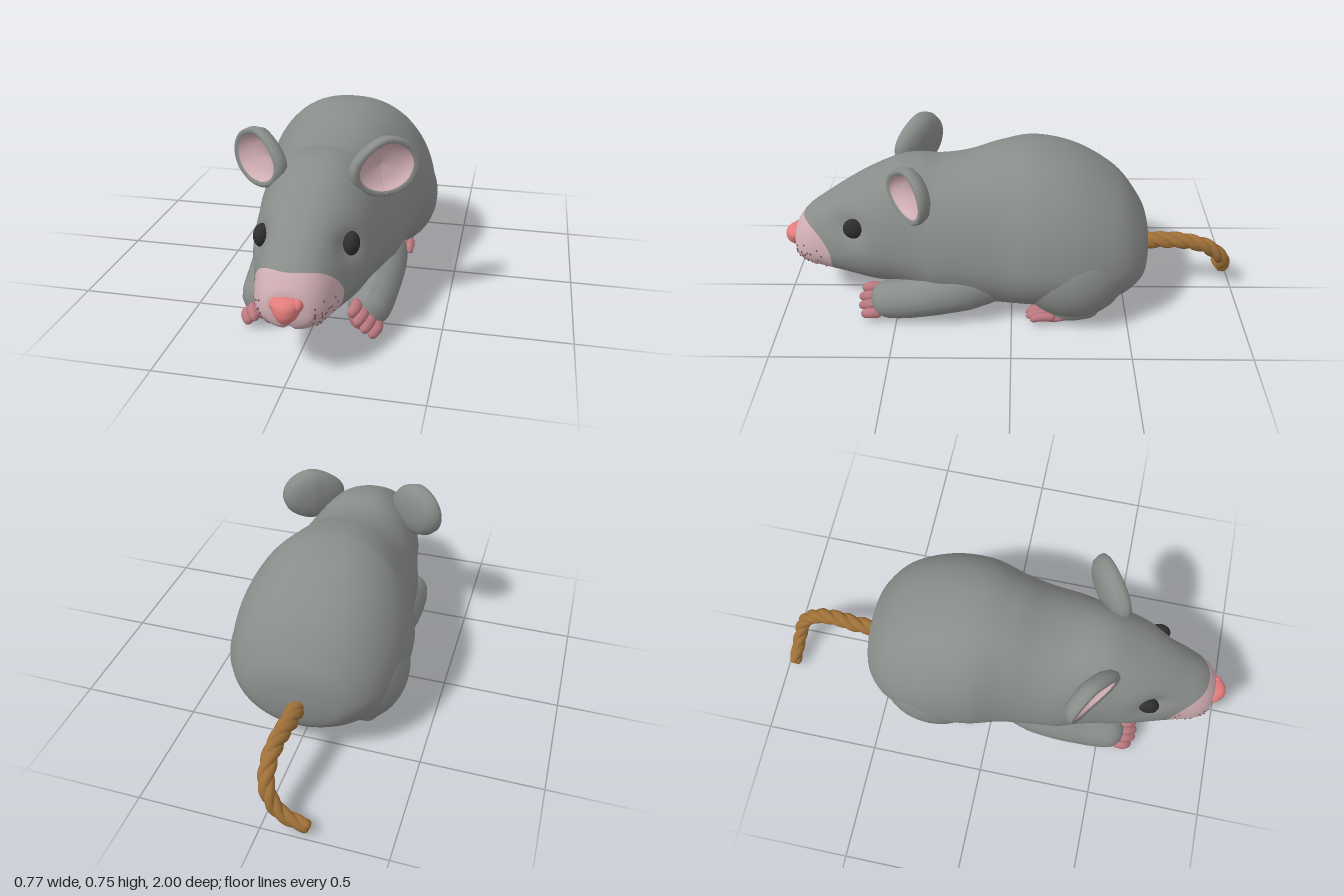
import * as THREE from 'three';

const mat = (name, color) => Object.assign(new THREE.MeshStandardMaterial({ color }), { name });
const V = (x, y, z) => new THREE.Vector3(x, y, z);

// Body sections from rump to snout: z, half width, widest height, top, bottom
const SECTIONS = [
  [-0.597, 0, 0.27, 0.27, 0.27], [-0.585, 0.13, 0.27, 0.38, 0.17], [-0.55, 0.23, 0.27, 0.46, 0.115],
  [-0.45, 0.32, 0.285, 0.588, 0.05], [-0.28, 0.372, 0.3, 0.695, 0.025], [-0.1, 0.37, 0.31, 0.74, 0.012],
  [0.05, 0.327, 0.3, 0.72, 0.004], [0.18, 0.307, 0.295, 0.677, 0.005], [0.3, 0.295, 0.3, 0.66, 0.02],
  [0.39, 0.27, 0.31, 0.67, 0.055], [0.48, 0.25, 0.32, 0.66, 0.088], [0.6, 0.227, 0.32, 0.608, 0.1],
  [0.7, 0.193, 0.3, 0.553, 0.125], [0.8, 0.16, 0.28, 0.488, 0.15], [0.88, 0.135, 0.27, 0.43, 0.172],
  [0.93, 0.1, 0.265, 0.37, 0.2], [0.946, 0.065, 0.265, 0.33, 0.225], [0.952, 0, 0.27, 0.27, 0.27],
];
const LAST = SECTIONS.length - 1, MUZZLE = 12.75; // section where the muzzle begins
const EYE = [0.168, 0.42, 0.662];
const spline = (f) => new THREE.CatmullRomCurve3(SECTIONS.map(f), false, 'catmullrom');
const widths = spline((s) => V(s[0], s[1], s[2]));
const heights = spline((s) => V(s[3], s[4], 0));

// Point on the body skin: k along the sections, a around; the muzzle edge swings forward on top
function skin(k, a) {
  const s = Math.sin(a), c = Math.cos(a), up = Math.max(s, 0);
  const ramp = k < MUZZLE ? Math.max(0, (k - 8) / (MUZZLE - 8)) : (LAST - k) / (LAST - MUZZLE);
  const t = Math.min(1, (k + 1.65 * up ** 1.4 * ramp) / LAST);
  const p = widths.getPoint(t), h = heights.getPoint(t);
  let x = Math.max(p.y, 0) * Math.sign(c) * Math.abs(c) ** (s > 0 ? 0.86 : 1) * (1 - 0.06 * up);
  // small cleft under the snout
  const cleft = s < 0 && k > 13 ? 0.016 * Math.exp(-((x / 0.016) ** 2)) * Math.min(1, k - 13) * -s : 0;
  const y = p.z + s * (s > 0 ? h.x - p.z : p.z - h.y) + cleft;
  // eye sockets, drawn out forwards
  const far = Math.hypot(y - EYE[1], (p.x - EYE[2] - 0.02) * 0.75) / 0.05;
  if (Math.abs(x) > 0.1) x -= Math.sign(x) * 0.026 * Math.exp(-far * far);
  return V(x, y, p.x);
}

// Seamless loft, with the muzzle as a second material group
function bodyGeometry(perSection, sides) {
  const pos = [], idx = [], rings = LAST * perSection;
  for (let i = 0; i <= rings; i++)
    for (let j = 0; j < sides; j++) pos.push(...skin(i / perSection, (j / sides) * Math.PI * 2).toArray());
  for (let i = 0; i < rings; i++)
    for (let j = 0; j < sides; j++) {
      const k = (j + 1) % sides;
      const a = i * sides + j, b = i * sides + k, c = a + sides, d = b + sides;
      idx.push(a, b, c, b, d, c);
    }
  const g = new THREE.BufferGeometry();
  g.setAttribute('position', new THREE.Float32BufferAttribute(pos, 3));
  g.setIndex(idx);
  g.computeVertexNormals();
  const cut = MUZZLE * perSection * sides * 6;
  g.addGroup(0, cut, 0);
  g.addGroup(cut, idx.length - cut, 1);
  return g;
}

// Tube whose radius follows a list of values, rounded off at both ends
function limb(points, radii, segments = 24, sides = 16) {
  const curve = new THREE.CatmullRomCurve3(points);
  const g = new THREE.TubeGeometry(curve, segments, 1, sides);
  const pos = g.attributes.position, v = V(0, 0, 0), len = curve.getLength();
  for (let i = 0; i <= segments; i++) {
    const u = i / segments, c = curve.getPointAt(u);
    const f = u * (radii.length - 1), k = Math.min(Math.floor(f), radii.length - 2);
    let r = THREE.MathUtils.lerp(radii[k], radii[k + 1], f - k);
    const d = Math.min(u, 1 - u) * len;
    if (d < r) r *= Math.sqrt(Math.max(0, 1 - (1 - d / r) ** 2));
    for (let j = 0; j <= sides; j++) {
      const n = i * (sides + 1) + j;
      v.fromBufferAttribute(pos, n).sub(c).multiplyScalar(r).add(c);
      pos.setXYZ(n, v.x, v.y, v.z);
    }
  }
  g.computeVertexNormals();
  return g;
}

export function createModel() {
  const fur = mat('grey fur', 0x898d8a), pink = mat('pale pink skin', 0xd0aeb3);
  const paw = mat('paw pink', 0xb9787f), noseRed = mat('nose coral', 0xe47d7d);
  const black = mat('eye black', 0x2e2e2e), rope = mat('rope brown', 0x9f7038);
  const pit = mat('whisker pit', 0x6e555a);
  const root = new THREE.Group();
  root.name = 'rat';

  const add = (name, geometry, material) => {
    const m = new THREE.Mesh(geometry, material);
    m.name = name;
    root.add(m);
    return m;
  };
  const ball = (name, material, c, r) => {
    const m = add(name, new THREE.SphereGeometry(1, 32, 20), material);
    m.position.set(...c);
    m.scale.set(...r);
  };

  add('bodyAndMuzzle', bodyGeometry(8, 80), [fur, pink]);

  // Nose, broad and flat on top, narrowing downwards
  const nose = new THREE.SphereGeometry(1, 28, 20), np = nose.attributes.position;
  for (let i = 0; i < np.count; i++) {
    const y = np.getY(i);
    np.setXYZ(i, np.getX(i) * (1 + 0.3 * y), y > 0 ? y ** 0.7 : y, np.getZ(i));
  }
  nose.scale(0.05, 0.05, 0.052).translate(0, 0.284, 0.947).computeVertexNormals();
  add('nose', nose, noseRed);

  let seed = 74123;
  const rand = () => (seed = (seed * 16807) % 2147483647) / 2147483647;
  const dot = new THREE.IcosahedronGeometry(0.0048, 0);

  for (const s of [1, -1]) {
    const side = s > 0 ? 'left' : 'right';
    ball(side + 'Haunch', fur, [s * 0.19, 0.25, -0.26], [0.195, 0.23, 0.24]);
    ball(side + 'Eye', black, [s * EYE[0], EYE[1], EYE[2]], [0.033, 0.045, 0.045]);
    ball(side + 'Nostril', noseRed, [s * 0.039, 0.305, 0.945], [0.022, 0.024, 0.03]);

    // Whisker pits scattered over the cheek
    for (let i = 0; i < 26; i++) {
      const a = -0.95 + rand() * 1.3;
      add(side + 'WhiskerPit', dot, pit).position.copy(skin(12.9 + rand() * 2.2, s > 0 ? a : Math.PI - a));
    }

    // Cupped ear: thick furry shell and rim, pink hollow set towards the outer edge
    const ear = new THREE.Group();
    ear.name = side + 'Ear';
    const shell = [[0, -0.045], [0.05, -0.044], [0.09, -0.036], [0.116, -0.018], [0.126, 0.008], [0.122, 0.028],
      [0.111, 0.036], [0.099, 0.028]];
    const hollow = [[0.099, 0.028], [0.088, 0.008], [0.06, -0.01], [0, -0.018]];
    for (const [name, profile, m] of [['earShell', shell, fur], ['earHollow', hollow, pink]]) {
      const g = new THREE.LatheGeometry(profile.map((p) => new THREE.Vector2(...p)), 40);
      g.rotateX(Math.PI / 2).scale(1.1, 0.96, 1);
      const p = g.attributes.position;
      for (let i = 0; i < p.count; i++) {
        // draw the base out towards the head, lean the rim outwards
        const x = p.getX(i), z = p.getZ(i), base = Math.max(0, -x * s);
        p.setXYZ(i, x * (1 + base * 0.8) + s * 0.25 * Math.max(0, z),
          p.getY(i) * (1 - base * 0.9) - base * 0.1, z + base * 0.1);
      }
      g.computeVertexNormals();
      const mesh = new THREE.Mesh(g, m);
      mesh.name = name;
      ear.add(mesh);
    }
    ear.position.set(s * 0.238, 0.632, 0.402);
    ear.rotation.y = s * 0.58;
    root.add(ear);

    // Front leg, palm turned inwards, four toes on a slant
    add(side + 'FrontLeg', limb([V(s * 0.14, 0.2, 0.02), V(s * 0.205, 0.155, 0.24), V(s * 0.22, 0.105, 0.44),
      V(s * 0.207, 0.082, 0.61)], [0.12, 0.118, 0.094, 0.08], 36), fur);
    ball(side + 'Palm', paw, [s * 0.197, 0.07, 0.585], [0.052, 0.052, 0.034]);
    for (let i = 0; i < 4; i++) {
      const x = 0.172 + i * 0.027, y = 0.122 - i * 0.027, reach = i % 3 ? 0.662 : 0.648;
      add(side + 'FrontToe', limb([V(s * x, y, 0.56), V(s * (x + 0.005), y + 0.004, 0.615),
        V(s * (x - 0.016), y - 0.02, reach)], [0.022, 0.024, 0.017], 14, 12), paw);
    }

    // Hind foot with pink sole and four toes
    add(side + 'HindFoot', limb([V(s * 0.22, 0.075, -0.38), V(s * 0.235, 0.06, -0.26), V(s * 0.24, 0.05, -0.14)],
      [0.055, 0.055, 0.036]), fur);
    ball(side + 'Sole', paw, [s * 0.237, 0.032, -0.18], [0.05, 0.026, 0.085]);
    for (let i = 0; i < 4; i++) {
      const x = 0.205 + i * 0.025, tip = 0.198 + i * 0.03, z = i % 3 ? -0.06 : -0.08;
      add(side + 'HindToe', limb([V(s * x, 0.045, -0.19), V(s * (x + tip) / 2, 0.048, -0.12), V(s * tip, 0.032, z)],
        [0.018, 0.02, 0.014], 12, 10), paw);
    }
  }

  // Rope tail: three strands twisted round one curve
  const path = new THREE.CatmullRomCurve3([V(-0.01, 0.25, -0.56), V(-0.01, 0.257, -0.68), V(0, 0.255, -0.78),
    V(0.002, 0.228, -0.87), V(-0.012, 0.165, -0.94), V(-0.07, 0.08, -0.966), V(-0.188, 0.035, -0.968)]);
  const N = 90, frames = path.computeFrenetFrames(N);
  for (let k = 0; k < 3; k++) {
    const pts = [];
    for (let i = 0; i <= N; i++) {
      const u = i / N, a = u * Math.PI * 2 * 3.2 + (k * Math.PI * 2) / 3, r = 0.018 - 0.008 * u;
      pts.push(path.getPointAt(u).addScaledVector(frames.normals[i], r * Math.cos(a))
        .addScaledVector(frames.binormals[i], r * Math.sin(a)));
    }
    add('tailStrand', limb(pts, [0.022, 0.021, 0.019], 140, 10), rope);
  }
  return root;
}
